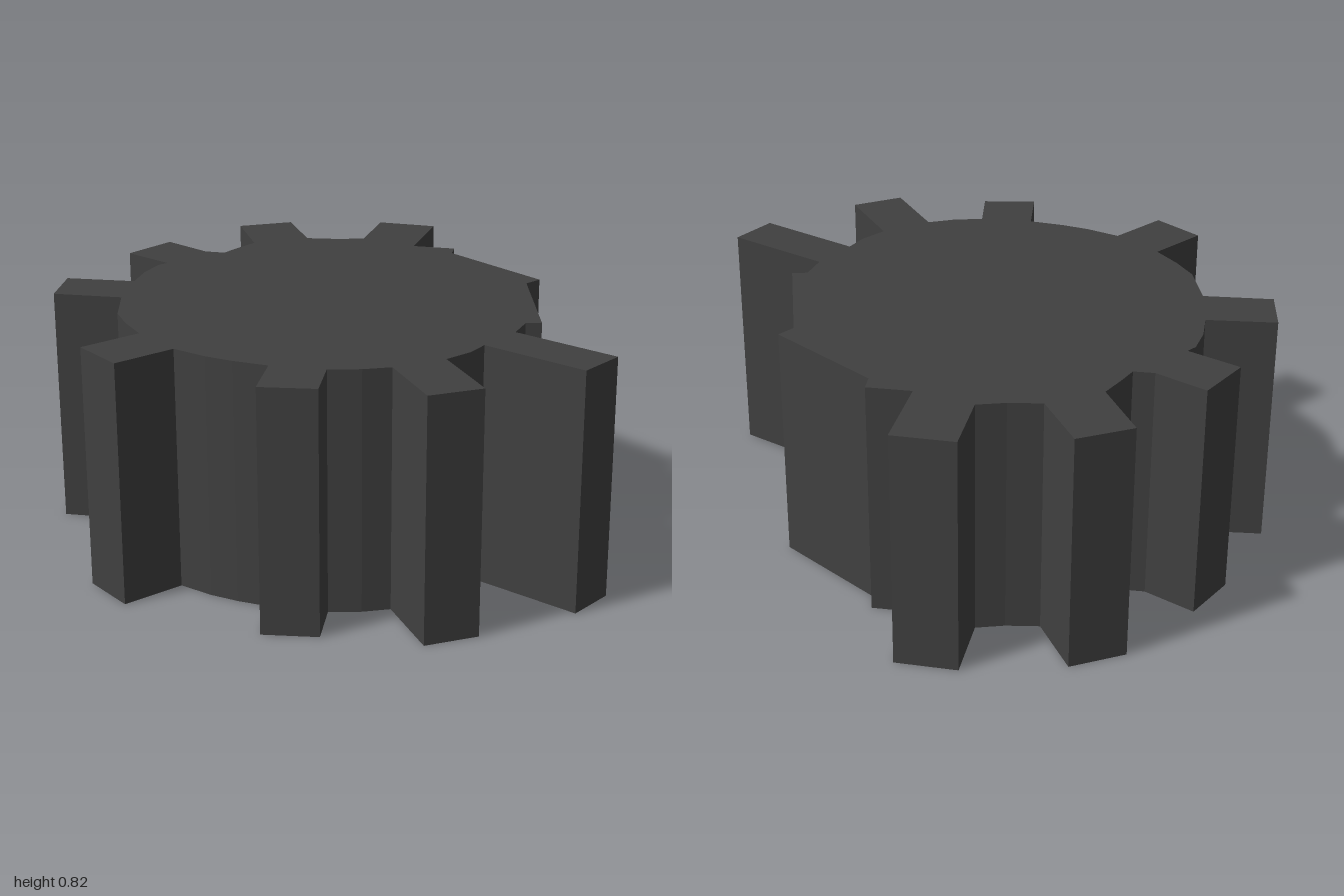
import * as THREE from 'three';

const HEIGHT = 0.82;

// Plan outline (x, z), walked around the wheel: each tooth is followed by the rim up to the next one
const SECTIONS = [
  // back tooth, then the stepped toothless side
  { tooth: [[-0.21, -0.69], [-0.23, -0.93], [-0.02, -0.95], [0, -0.66]],
    rim: [[0.15, -0.68], [0.16, -0.62], [0.55, -0.41], [0.52, -0.35], [0.69, 0.06], [0.64, 0.08]] },
  // long left tooth
  { tooth: [[0.635, 0.18], [1, 0.3], [0.94, 0.46], [0.58, 0.34]], rim: [[0.56, 0.42]] },
  { tooth: [[0.51, 0.51], [0.7, 0.72], [0.56, 0.84], [0.38, 0.64]], rim: [[0.3, 0.69]] },
  // front teeth
  { tooth: [[0.2, 0.73], [0.24, 0.9], [0.06, 0.95], [0.02, 0.76]], rim: [[-0.1, 0.76], [-0.2, 0.75]] },
  { tooth: [[-0.32, 0.72], [-0.43, 0.91], [-0.6, 0.81], [-0.49, 0.62]], rim: [[-0.58, 0.54], [-0.65, 0.46]] },
  // right teeth
  { tooth: [[-0.72, 0.295], [-0.955, 0.34], [-1, 0.16], [-0.765, 0.11]], rim: [[-0.78, 0], [-0.775, -0.1]] },
  { tooth: [[-0.755, -0.135], [-0.94, -0.2], [-0.87, -0.39], [-0.69, -0.32]], rim: [[-0.62, -0.33], [-0.6, -0.4]] },
  { tooth: [[-0.57, -0.49], [-0.715, -0.69], [-0.555, -0.81], [-0.41, -0.62]], rim: [[-0.3, -0.65]] },
];

export function createModel() {
  const group = new THREE.Group();
  group.name = 'gear';

  // Thick solid wheel with its teeth in one outline
  const outline = SECTIONS.flatMap(({ tooth, rim }) => [...tooth, ...rim])
    .map(([x, z]) => new THREE.Vector2(x, -z));
  const geometry = new THREE.ExtrudeGeometry(new THREE.Shape(outline), { depth: HEIGHT, bevelEnabled: false });
  geometry.rotateX(-Math.PI / 2);

  const wheel = new THREE.Mesh(geometry, new THREE.MeshStandardMaterial({ color: 0x404040 }));
  wheel.name = 'toothedWheel';
  group.add(wheel);
  return group;
}
